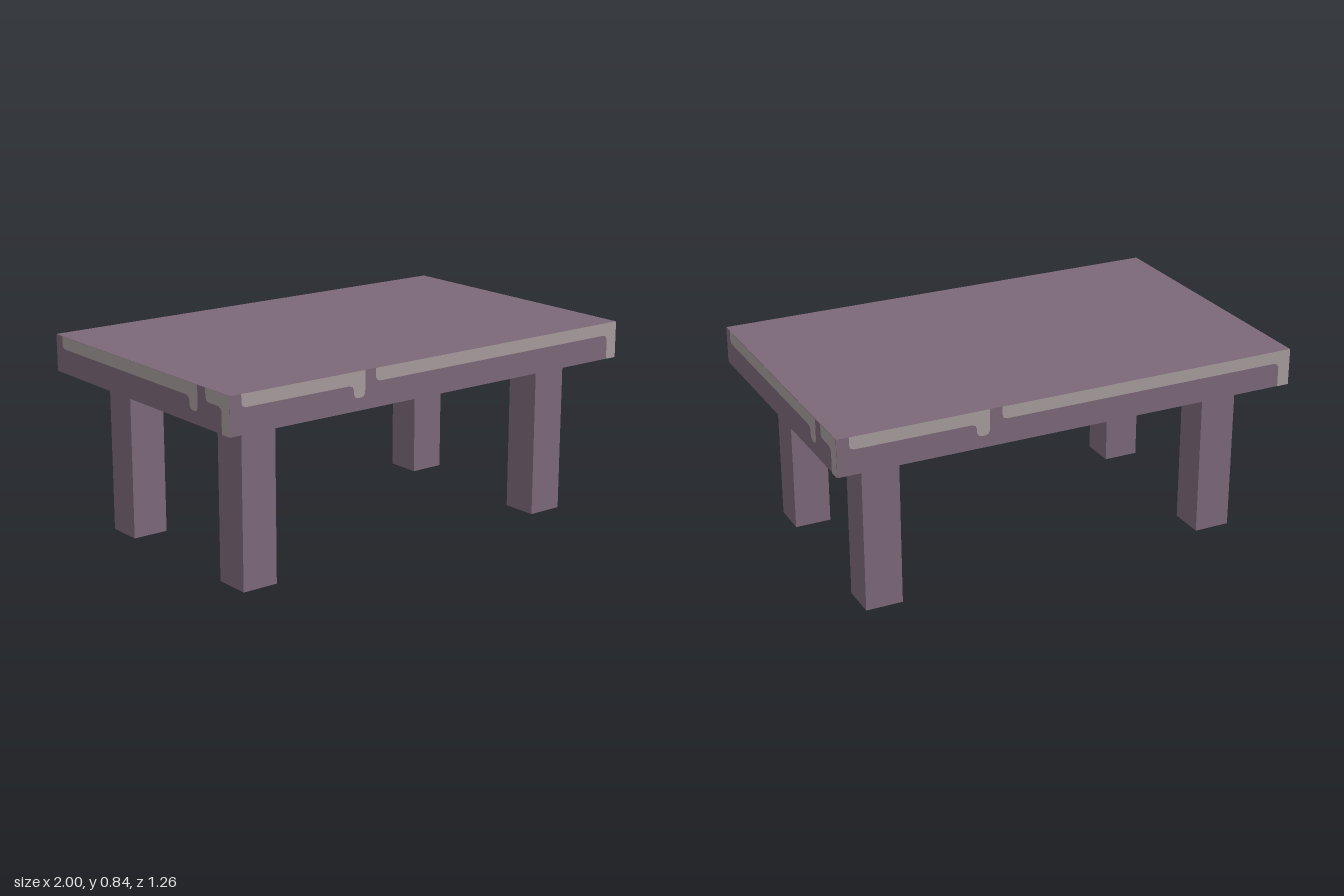
import * as THREE from 'three';

export function createModel() {
  const wood = new THREE.MeshStandardMaterial({ color: 0x7b6878 });
  wood.name = 'mauve wood';
  const trim = new THREE.MeshStandardMaterial({ color: 0xa59a9b });
  trim.name = 'pale edge';
  const brass = new THREE.MeshStandardMaterial({ color: 0x89632f });
  brass.name = 'brass';

  const HX = 1, HZ = 0.63, BOTTOM = 0.686, TOP = 0.843, BAND = 0.79;
  const GAP = 0.0015; // trim plates sit just proud of the wood
  const model = new THREE.Group();
  model.name = 'table';

  // Box given by its minimum and maximum corners
  function box(name, material, [x0, y0, z0], [x1, y1, z1], parent) {
    const mesh = new THREE.Mesh(new THREE.BoxGeometry(x1 - x0, y1 - y0, z1 - z0), material);
    mesh.position.set((x0 + x1) / 2, (y0 + y1) / 2, (z0 + z1) / 2);
    mesh.name = name;
    parent.add(mesh);
  }

  // Table top slab
  box('tableTop', wood, [-HX + GAP, BOTTOM, -HZ + GAP], [HX - GAP, TOP, HZ - GAP], model);

  // Worn edge trim: a band ending in a drip, then a band turning down at the corner
  const shapeFrom = (points) => new THREE.Shape(points.map(([u, v]) => new THREE.Vector2(u, v)));
  const bandStart = (u) => [[u, TOP], [u, BAND + 0.019], [u + 0.005, BAND + 0.006], [u + 0.019, BAND]];

  function edgeTrim(half, dripEnd) {
    const d = dripEnd - 0.055, c = half - 0.053;
    const dripBand = shapeFrom([
      ...bandStart(-half + 0.052),
      [d - 0.021, BAND], [d - 0.006, BAND - 0.006], [d, BAND - 0.02],
      [d, 0.755], [d + 0.006, 0.742], [d + 0.018, 0.737],
      [d + 0.037, 0.737], [d + 0.049, 0.742], [dripEnd, 0.755], [dripEnd, TOP],
    ]);
    const cornerBand = shapeFrom([
      ...bandStart(dripEnd + 0.053),
      [c - 0.02, BAND], [c - 0.006, BAND - 0.006], [c, BAND - 0.02],
      [c, BOTTOM], [half, BOTTOM], [half, TOP],
    ]);
    return new THREE.ShapeGeometry([dripBand, cornerBand]);
  }

  const longTrim = edgeTrim(HX, -0.37);
  const shortTrim = edgeTrim(HZ, 0.42);
  ['front', 'left', 'back', 'right'].forEach((side, i) => {
    const mesh = new THREE.Mesh(i % 2 ? shortTrim : longTrim, trim);
    const angle = i * Math.PI / 2, distance = i % 2 ? HX : HZ;
    mesh.rotation.y = angle;
    mesh.position.set(Math.sin(angle) * distance, 0, Math.cos(angle) * distance);
    mesh.name = side + 'EdgeTrim';
    model.add(mesh);
  });

  // Four legs, each with a bracket reaching inward and a bolt beneath it
  for (const sx of [-1, 1]) {
    for (const sz of [-1, 1]) {
      const leg = new THREE.Group();
      leg.name = (sz > 0 ? 'front' : 'back') + (sx > 0 ? 'Left' : 'Right') + 'Leg';
      const span = (s, inner, outer) => (s > 0 ? [inner, outer] : [-outer, -inner]);
      const part = (name, material, xs, ys, zs) => {
        const [x0, x1] = span(sx, ...xs), [z0, z1] = span(sz, ...zs);
        box(name, material, [x0, ys[0], z0], [x1, ys[1], z1], leg);
      };
      part('post', wood, [0.685, 0.843], [0, BOTTOM], [0.317, 0.475]);
      part('bracketAlongX', wood, [0.527, 0.685], [0.634, BOTTOM], [0.16, 0.475]);
      part('bracketAlongZ', wood, [0.685, 0.843], [0.634, BOTTOM], [0.16, 0.317]);
      part('bolt', brass, [0.58, 0.632], [0.582, 0.634], [0.212, 0.264]);
      model.add(leg);
    }
  }
  return model;
}
